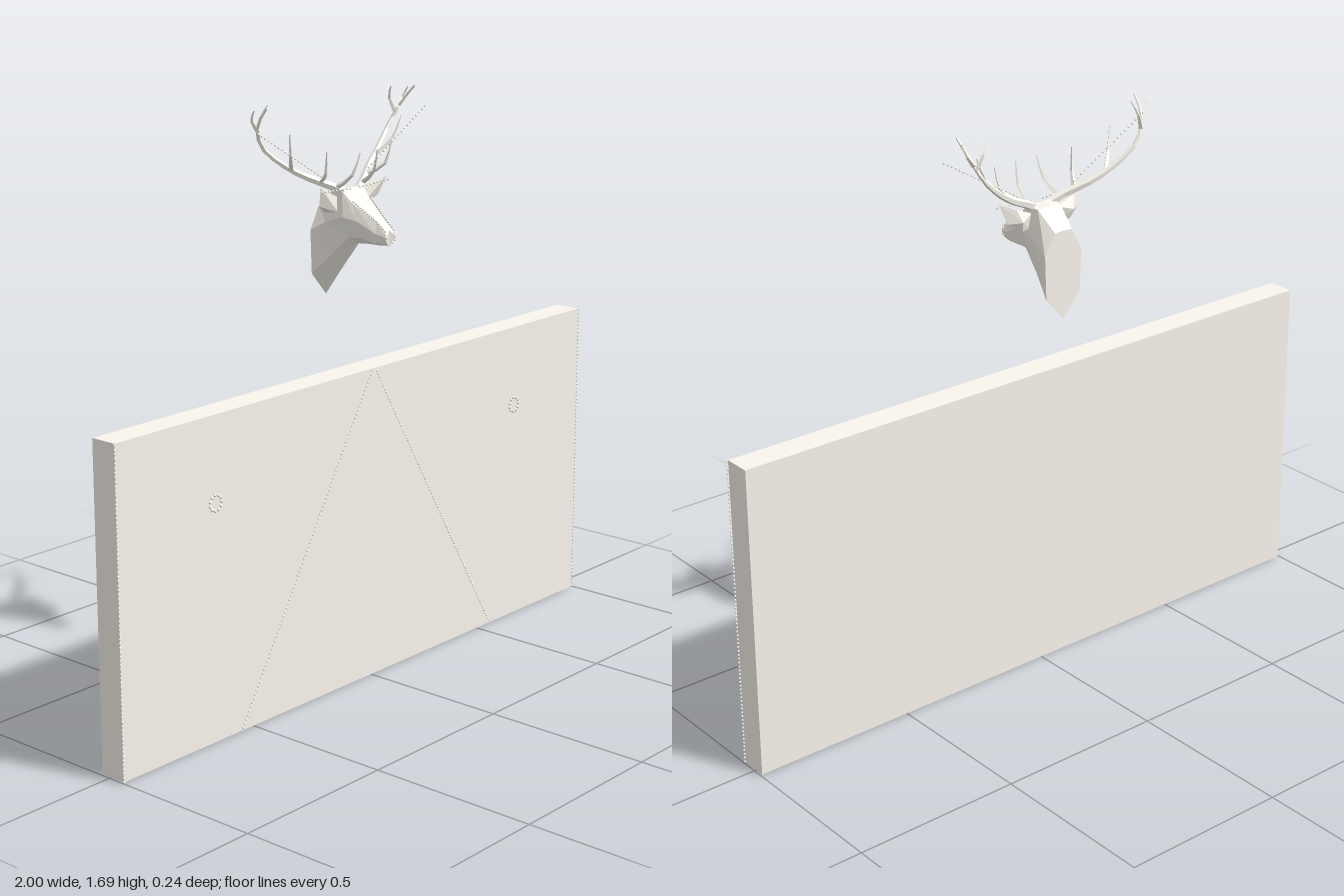
import * as THREE from 'three';
import { mergeGeometries } from 'three/addons/utils/BufferGeometryUtils.js';
import { ConvexGeometry } from 'three/addons/geometries/ConvexGeometry.js';

const ivory = new THREE.MeshStandardMaterial({ color: 0xfaf6ed, flatShading: true });
const V = (x, y, z) => new THREE.Vector3(x, y, z);

function add(parent, name, geometry) {
  const mesh = new THREE.Mesh(geometry, ivory);
  mesh.name = name;
  parent.add(mesh);
}

// Tube through points, tapering from r0 to r1
function taper(points, r0, r1, segments, sides) {
  const curve = new THREE.CatmullRomCurve3(points);
  const geo = new THREE.TubeGeometry(curve, segments, 1, sides);
  const pos = geo.attributes.position;
  const v = V(0, 0, 0);
  for (let i = 0; i < pos.count; i++) {
    const t = Math.floor(i / (sides + 1)) / segments;
    const c = curve.getPointAt(t);
    v.fromBufferAttribute(pos, i).sub(c).multiplyScalar(r0 + (r1 - r0) * t).add(c);
    pos.setXYZ(i, v.x, v.y, v.z);
  }
  return geo;
}

// Row of small light bulbs along a polyline
function bulbs(points, spacing, radius) {
  const parts = [];
  for (let i = 0; i < points.length - 1; i++) {
    const n = Math.max(1, Math.round(points[i].distanceTo(points[i + 1]) / spacing));
    for (let k = 0; k <= n; k++) {
      if (k === n && i < points.length - 2) continue;
      const p = points[i].clone().lerp(points[i + 1], k / n);
      parts.push(new THREE.IcosahedronGeometry(radius, 0).translate(p.x, p.y, p.z));
    }
  }
  return mergeGeometries(parts);
}

// Faceted skin over half cross-sections (top centre round +x to bottom centre), mirrored in x
function loft(sections) {
  const rings = sections.map((s) => {
    const mirrored = s.slice(1, -1).reverse().map(([x, y, z]) => [-x, y, z]);
    return [...s, ...mirrored];
  });
  const n = rings[0].length;
  const out = [];
  const tri = (a, b, c) => out.push(...a, ...b, ...c);
  for (let i = 0; i < rings.length - 1; i++) {
    for (let j = 0; j < n; j++) {
      const k = (j + 1) % n;
      const [a, b, c, d] = [rings[i][j], rings[i][k], rings[i + 1][j], rings[i + 1][k]];
      tri(a, c, b);
      tri(b, c, d);
    }
  }
  const first = rings[0], last = rings[rings.length - 1];
  for (let j = 1; j < n - 1; j++) {
    tri(first[0], first[j], first[j + 1]);
    tri(last[0], last[j + 1], last[j]);
  }
  const geo = new THREE.BufferGeometry();
  geo.setAttribute('position', new THREE.Float32BufferAttribute(out, 3));
  geo.computeVertexNormals();
  return geo;
}

export function createModel() {
  const model = new THREE.Group();
  model.name = 'stagBooth';

  // Counter board
  add(model, 'board', new THREE.BoxGeometry(1.99, 0.923, 0.081).translate(0, 0.4635, 0.0095));

  // Light strings on the board front
  const zf = 0.052;
  const boardLights = new THREE.Group();
  boardLights.name = 'boardLights';
  model.add(boardLights);
  add(boardLights, 'rightDiagonalLights', bulbs([V(0, 0.92, zf), V(-0.545, 0.01, zf)], 0.012, 0.0035));
  add(boardLights, 'leftDiagonalLights', bulbs([V(0.02, 0.915, zf), V(0.558, 0.01, zf)], 0.012, 0.0035));
  for (const s of [-1, 1]) {
    add(boardLights, s > 0 ? 'leftEdgeLights' : 'rightEdgeLights',
      bulbs([V(s * 0.9965, 0.004, zf), V(s * 0.9965, 0.921, zf)], 0.012, 0.0035));
  }
  for (const cx of [-0.637, 0.668]) {
    const ring = [];
    for (let i = 0; i < 11; i++) {
      const a = (i / 11) * Math.PI * 2;
      ring.push(V(cx + 0.022 * Math.cos(a), 0.682 + 0.022 * Math.sin(a), zf));
    }
    add(boardLights, cx > 0 ? 'leftLightRing' : 'rightLightRing', bulbs(ring, 0.02, 0.0055));
  }

  // Stag bust: neck plane, nape, skull, brow, muzzle, nose
  const stag = new THREE.Group();
  stag.name = 'stagHead';
  model.add(stag);
  add(stag, 'bust', loft([
    [[0, 1.375, -0.122], [0.03, 1.373, -0.122], [0.065, 1.31, -0.122], [0.06, 1.185, -0.122], [0, 1.117, -0.122]],
    [[0, 1.432, -0.066], [0.04, 1.426, -0.062], [0.06, 1.34, -0.07], [0.045, 1.245, -0.062], [0, 1.198, -0.062]],
    [[0, 1.434, -0.03], [0.046, 1.43, -0.02], [0.056, 1.36, -0.01], [0.036, 1.3, -0.005], [0, 1.279, 0]],
    [[0, 1.404, 0.015], [0.038, 1.398, 0.012], [0.042, 1.35, 0.03], [0.026, 1.3, 0.035], [0, 1.282, 0.035]],
    [[0, 1.354, 0.085], [0.018, 1.35, 0.083], [0.027, 1.32, 0.085], [0.021, 1.292, 0.08], [0, 1.283, 0.08]],
    [[0, 1.33, 0.113], [0.016, 1.328, 0.112], [0.021, 1.312, 0.12], [0.014, 1.294, 0.115], [0, 1.287, 0.109]],
  ]));

  for (const s of [-1, 1]) {
    const P = (x, y, z) => V(s * x, y, z);
    const side = s > 0 ? 'left' : 'right';

    // Ear
    add(stag, side + 'Ear', new ConvexGeometry([
      P(0.045, 1.368, -0.035), P(0.045, 1.412, -0.04), P(0.085, 1.372, -0.05), P(0.125, 1.396, -0.035),
      P(0.14, 1.452, -0.015), P(0.1, 1.435, -0.045), P(0.09, 1.4, -0.06),
    ]));

    // Antler: main beam and tines
    const antler = new THREE.Group();
    antler.name = side + 'Antler';
    stag.add(antler);
    add(antler, 'beam', taper([P(0.035, 1.428, -0.03), P(0.075, 1.448, -0.045), P(0.13, 1.473, -0.075),
      P(0.2, 1.513, -0.1), P(0.265, 1.568, -0.116), P(0.3, 1.63, -0.1), P(0.311, 1.685, -0.055)], 0.013, 0.003, 11, 5));
    const tines = [
      ['browTine', [P(0.055, 1.44, -0.035), P(0.046, 1.475, 0.015), P(0.036, 1.542, 0.038)]],
      ['secondTine', [P(0.095, 1.458, -0.055), P(0.125, 1.487, -0.01), P(0.137, 1.553, 0.005)]],
      ['thirdTine', [P(0.178, 1.5, -0.09), P(0.213, 1.54, -0.06), P(0.235, 1.608, -0.042)]],
      ['crownTine', [P(0.288, 1.605, -0.109), P(0.27, 1.65, -0.117), P(0.258, 1.685, -0.1)]],
      ['outerTine', [P(0.294, 1.617, -0.105), P(0.318, 1.65, -0.105), P(0.322, 1.678, -0.09)]],
    ];
    for (const [name, pts] of tines) add(antler, name, taper(pts, 0.0075, 0.002, 4, 4));

    // Lights strung past the antler, by the ear and down the face to the nose
    add(stag, side + 'AntlerLights', bulbs([P(0.35, 1.622, -0.05), P(0.1, 1.475, -0.048)], 0.015, 0.0035));
    add(stag, side + 'EarLights', bulbs([P(0.14, 1.44, -0.01), P(0.02, 1.435, -0.012)], 0.015, 0.0035));
    add(stag, side + 'FaceLights', bulbs([P(0.038, 1.403, 0.015), P(0.02, 1.354, 0.084), P(0.019, 1.33, 0.113),
      P(0.018, 1.302, 0.118), P(0.004, 1.288, 0.112)], 0.009, 0.0038));
  }
  return model;
}
